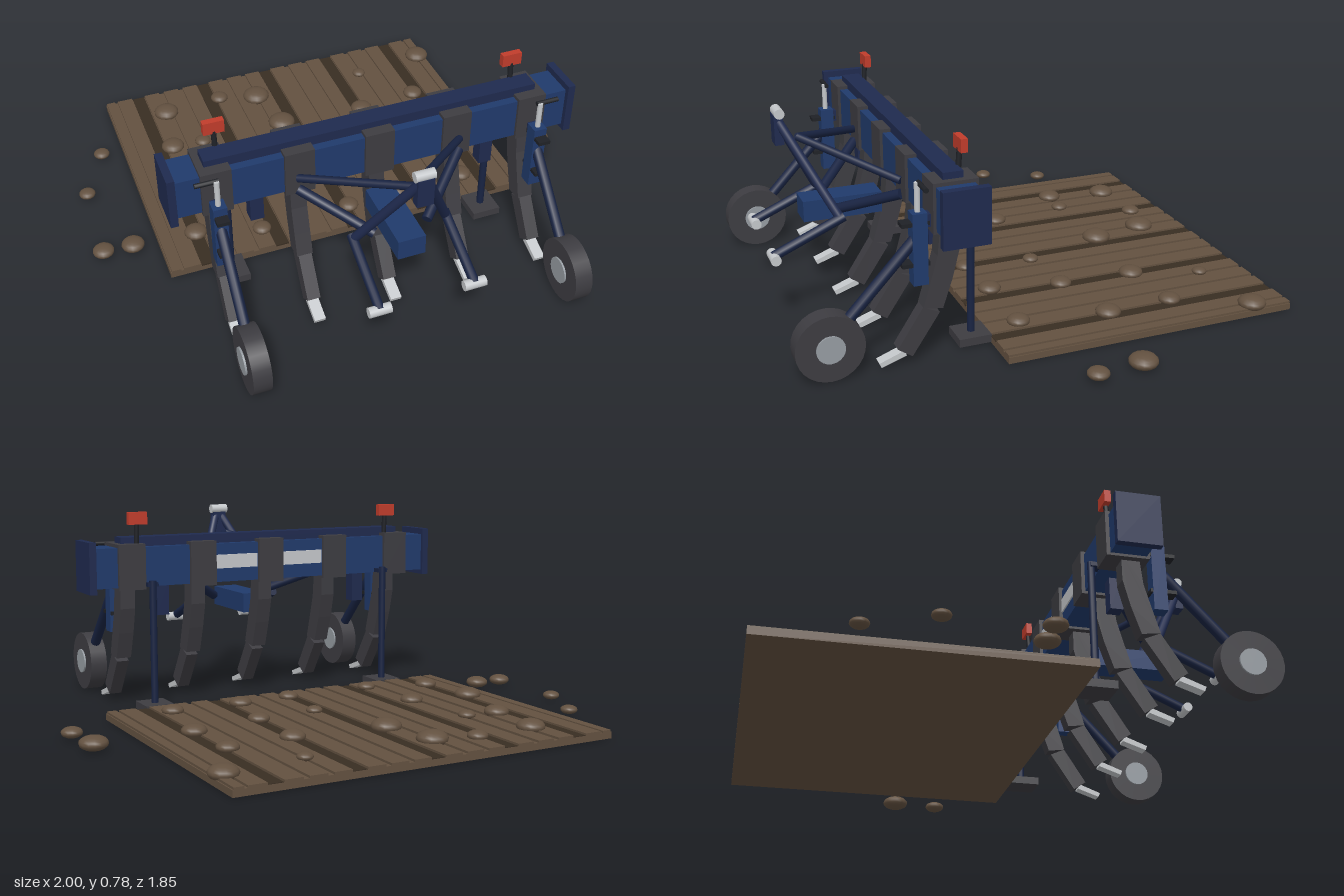
import * as THREE from 'three';

const mat = (name, color) => {
  const m = new THREE.MeshStandardMaterial({ color });
  m.name = name;
  return m;
};

export function createModel() {
  const blue = mat('frame blue', 0x203a6b);
  const navy = mat('navy', 0x1f2a4e);
  const deepNavy = mat('deep navy', 0x182342);
  const grey = mat('charcoal steel', 0x3d3c41);
  const silver = mat('bare steel', 0xc4c7ca);
  const hubGrey = mat('hub grey', 0x959ba1);
  const black = mat('black', 0x1f2126);
  const red = mat('reflector red', 0xc03c2b);
  const soil = mat('soil', 0x635140);
  const darkSoil = mat('dark soil', 0x382d22);

  const root = new THREE.Group();
  root.position.x = 0.004;
  const add = (name, geo, material, x = 0, y = 0, z = 0) => {
    const m = new THREE.Mesh(geo, material);
    m.name = name;
    m.position.set(x, y, z);
    root.add(m);
    return m;
  };
  // box given by its min and max corners
  const box = (name, material, x0, x1, y0, y1, z0, z1) =>
    add(name, new THREE.BoxGeometry(x1 - x0, y1 - y0, z1 - z0), material,
      (x0 + x1) / 2, (y0 + y1) / 2, (z0 + z1) / 2);
  // round bar between two points
  const bar = (name, material, a, b, r, sides = 12) => {
    const p = new THREE.Vector3(...a), q = new THREE.Vector3(...b);
    const d = q.clone().sub(p);
    const m = add(name, new THREE.CylinderGeometry(r, r, d.length(), sides), material);
    m.position.copy(p).add(q).multiplyScalar(0.5);
    m.quaternion.setFromUnitVectors(new THREE.Vector3(0, 1, 0), d.normalize());
    return m;
  };
  // side profile of (z, y) points, given a width along x
  const sidePlate = (name, material, pts, width, x) => {
    const shape = new THREE.Shape(pts.map(([z, y]) => new THREE.Vector2(z, y)));
    const geo = new THREE.ExtrudeGeometry(shape, { depth: width, bevelEnabled: false });
    geo.rotateY(-Math.PI / 2).translate(width / 2, 0, 0);
    return add(name, geo, material, x);
  };

  // tilled ground: slab, dark furrows and low flat ridges
  const Z0 = -0.925, Z1 = 0.21;
  box('groundSlab', soil, -0.747, 0.747, 0, 0.024, Z0, Z1);
  const ridge = (x, w) => box('ridge', soil, x - w / 2, x + w / 2, 0.02, 0.032, Z0, Z1);
  for (let i = -2; i <= 2; i++) {
    const x = i * 0.3;
    box('furrow', darkSoil, x - 0.026, x + 0.026, 0.02, 0.026, Z0, Z1);
    if (i < 2) [0.062, 0.15, 0.238].forEach((o) => ridge(x + o, 0.066));
  }
  for (const s of [-1, 1]) ridge(s * 0.662, 0.066), ridge(s * 0.725, 0.036);

  // clods of earth: x, z, radius
  const clods = [
    [-0.51, -0.765, 0.053], [-0.26, -0.785, 0.038], [-0.1, -0.74, 0.058], [0.4, -0.74, 0.029],
    [0.71, -0.78, 0.053], [-0.84, -0.59, 0.033], [-0.545, -0.52, 0.048], [-0.415, -0.51, 0.034],
    [-0.055, -0.515, 0.058], [0.31, -0.485, 0.047], [0.57, -0.51, 0.042], [-0.95, -0.355, 0.033],
    [-0.635, -0.215, 0.053], [-0.38, -0.19, 0.045], [0.05, -0.17, 0.032], [0.295, -0.19, 0.042],
    [0.58, -0.25, 0.048], [0.935, -0.205, 0.053], [0.955, -0.025, 0.04], [-0.96, 0, 0.042],
    [-0.845, 0.005, 0.045], [-0.6, 0.035, 0.045], [-0.35, 0.105, 0.037], [0.02, 0.098, 0.04],
    [0.24, 0.083, 0.045], [0.525, 0.083, 0.043],
  ];
  for (const [x, z, r] of clods) {
    const y = Math.abs(x) > 0.75 ? 0.028 : 0.039;
    add('clod', new THREE.SphereGeometry(r, 14, 10).scale(1, 0.52, 1), soil, x, y, z);
  }

  // main beam with top rail, end plates and rear strips
  box('mainBeam', blue, -0.747, 0.747, 0.49, 0.645, 0.297, 0.432);
  box('topRail', navy, -0.63, 0.63, 0.64, 0.682, 0.328, 0.4);
  for (const s of [-1, 1]) {
    const x = s * 0.758;
    box('endPlate', navy, x - 0.014, x + 0.014, 0.47, 0.67, 0.284, 0.45);
    box('rearStrip', silver, s * 0.15 - 0.09, s * 0.15 + 0.09, 0.545, 0.6, 0.291, 0.298);
  }

  // five curved tines, each with clamp and point
  const upper = [[0.345, 0.51], [0.345, 0.4], [0.37, 0.3], [0.405, 0.195], [0.475, 0.205],
    [0.45, 0.29], [0.422, 0.39], [0.41, 0.51]];
  const lower = [[0.475, 0.207], [0.415, 0.18], [0.515, 0.03], [0.567, 0.065]];
  const point = [[0.535, 0.035], [0.625, 0.005], [0.632, 0.022], [0.54, 0.056]];
  for (let i = -2; i <= 2; i++) {
    const x = i * 0.3;
    box('clamp', grey, x - 0.055, x + 0.055, 0.48, 0.658, 0.283, 0.443);
    sidePlate('tineShank', grey, upper, 0.06, x);
    sidePlate('tineFoot', grey, lower, 0.05, x);
    sidePlate('tinePoint', silver, point, 0.042, x);
  }

  // hitch: centre box, mast head and top pin
  box('hitchBox', blue, -0.052, 0.052, 0.335, 0.415, 0.442, 0.74);
  box('mastHead', navy, -0.03, 0.03, 0.635, 0.745, 0.79, 0.823);
  bar('topPin', silver, [-0.036, 0.752, 0.803], [0.036, 0.752, 0.803], 0.019, 16);

  for (const s of [-1, 1]) {
    // hitch braces and lower links
    bar('upperBrace', deepNavy, [s * 0.31, 0.55, 0.445], [0, 0.65, 0.735], 0.015);
    bar('lowerBrace', deepNavy, [s * 0.31, 0.5, 0.445], [s * 0.1, 0.39, 0.64], 0.019);
    bar('mastLeg', navy, [s * 0.175, 0.385, 0.635], [s * 0.015, 0.72, 0.805], 0.017);
    bar('lowerLink', deepNavy, [s * 0.178, 0.39, 0.62], [s * 0.178, 0.275, 0.885], 0.018);
    bar('linkPin', silver, [s * 0.178 - 0.041, 0.272, 0.882], [s * 0.178 + 0.041, 0.272, 0.882], 0.019, 16);
    box('beamLug', navy, s * 0.45 - 0.025, s * 0.45 + 0.025, 0.365, 0.5, 0.35, 0.4);

    // depth wheel with arm, bracket and adjusting crank
    const x = s * 0.61;
    bar('tyre', grey, [x - 0.034, 0.122, 0.802], [x + 0.034, 0.122, 0.802], 0.12, 28);
    bar('wheelHub', hubGrey, [x - 0.041, 0.122, 0.802], [x + 0.041, 0.122, 0.802], 0.05, 20);
    bar('wheelArm', deepNavy, [x, 0.47, 0.48], [x, 0.13, 0.8], 0.02);
    box('wheelBracket', blue, x - 0.025, x + 0.025, 0.295, 0.552, 0.456, 0.508);
    box('bracketMount', navy, x - 0.02, x + 0.02, 0.5, 0.545, 0.43, 0.46);
    bar('adjusterScrew', silver, [x, 0.54, 0.483], [x, 0.655, 0.483], 0.01);
    bar('crankHandle', black, [x - s * 0.01, 0.65, 0.475], [x + s * 0.075, 0.65, 0.475], 0.009);
    for (const y of [0.37, 0.515]) {
      box('bracketBolt', black, x - 0.023, x + 0.023, y - 0.007, y + 0.007, 0.448, 0.545);
    }

    // parking stand
    const px = s * 0.525;
    bar('standPost', deepNavy, [px, 0.02, 0.266], [px, 0.515, 0.266], 0.014);
    box('standFoot', grey, px - 0.057, px + 0.057, 0.003, 0.033, 0.208, 0.328);
    box('standBracket', deepNavy, px - 0.022, px + 0.022, 0.492, 0.508, 0.26, 0.31);

    // reflector
    const rx = s * 0.567;
    bar('reflectorStem', black, [rx, 0.65, 0.325], [rx, 0.74, 0.318], 0.01);
    box('reflector', red, rx - 0.038, rx + 0.038, 0.732, 0.78, 0.302, 0.327);
  }
  return root;
}
